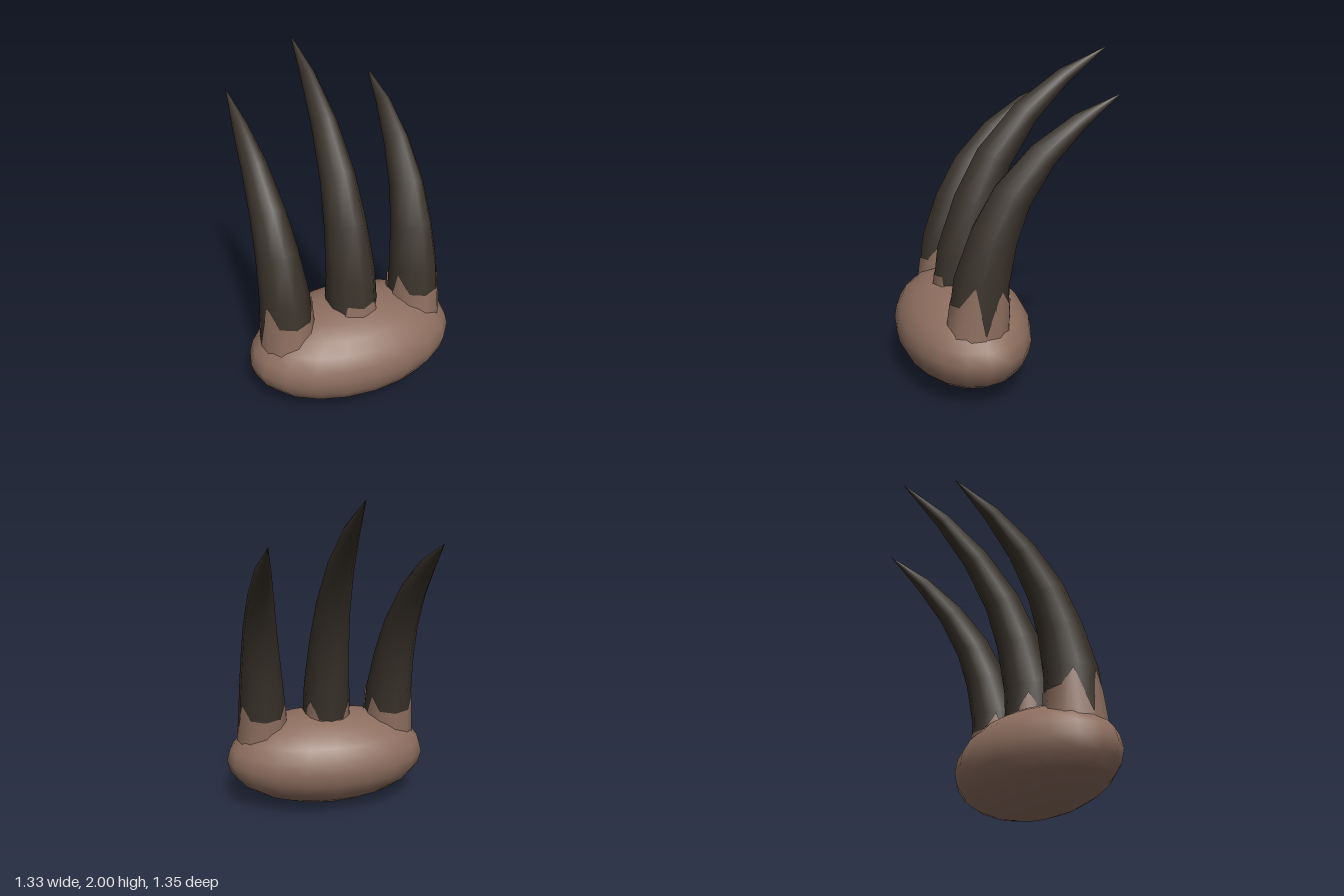
import * as THREE from 'three';

// Skin through closed loops of points, listed from bottom to top
function loft(loops) {
  const n = loops[0].length, pos = [], idx = [];
  loops.forEach(loop => loop.forEach(p => pos.push(p.x, p.y, p.z)));
  for (let i = 0; i < loops.length - 1; i++) {
    for (let j = 0; j < n; j++) {
      const a = i * n + j, b = i * n + (j + 1) % n;
      idx.push(a, b, b + n, a, b + n, a + n);
    }
  }
  const g = new THREE.BufferGeometry();
  g.setAttribute('position', new THREE.Float32BufferAttribute(pos, 3));
  g.setIndex(idx);
  g.computeVertexNormals();
  return g;
}

// Claw cross-sections: sideways drift, height, depth, radius
const SECTIONS = [
  [0, 0.44, 0.275, 0.163], [0.004, 0.75, 0.25, 0.148], [0.014, 1.0, 0.18, 0.126],
  [0.025, 1.22, 0.08, 0.105], [0.036, 1.44, -0.09, 0.078], [0.046, 1.62, -0.3, 0.046],
  [0.05, 1.765, -0.54, 0.001],
];
const DEPTH = 1.12; // claws are a little deeper than wide

function clawGeometry(x, drift, sy, sz) {
  const centres = SECTIONS.map(([dx, y, z]) => new THREE.Vector3(
    x + dx * drift, 0.5 + (y - 0.5) * sy, 0.275 + (z - 0.275) * sz));
  const loops = centres.map((c, i) => {
    const t = centres[Math.min(i + 1, centres.length - 1)].clone()
      .sub(centres[Math.max(i - 1, 0)]).setX(0).normalize();
    const v = new THREE.Vector3(1, 0, 0).cross(t);
    const r = SECTIONS[i][3];
    return Array.from({ length: 10 }, (_, j) => {
      const a = j / 10 * Math.PI * 2;
      return c.clone().addScaledVector(v, r * DEPTH * Math.cos(a))
        .add(new THREE.Vector3(r * Math.sin(a), 0, 0));
    });
  });
  return loft(loops);
}

// Jagged skin around a claw root: [angle from front, rim height], mirrored
function cuffGeometry(x, rim) {
  const full = [...rim, ...rim.slice(1, -1).reverse().map(([a, y]) => [360 - a, y])];
  const ring = heightOf => full.map(([deg, rimY]) => {
    const y = heightOf(rimY), k = (y - 0.44) / 0.31;
    const a = THREE.MathUtils.degToRad(deg);
    const r = THREE.MathUtils.lerp(0.163, 0.148, k) * 1.04;
    return new THREE.Vector3(x + r * Math.sin(a), y, 0.275 - 0.025 * k + r * DEPTH * Math.cos(a));
  });
  return loft([ring(() => 0.43), ring(y => y)]);
}

const SIDE_RIM = [[0, 0.62], [36, 0.63], [65, 0.75], [90, 0.47], [118, 0.72], [144, 0.62], [180, 0.61]];
const MIDDLE_RIM = [[0, 0.645], [34, 0.66], [42, 0.58], [90, 0.54], [125, 0.72], [150, 0.6], [180, 0.58]];

export function createModel() {
  const skin = new THREE.MeshStandardMaterial({ color: 0x8d6e5f, side: THREE.DoubleSide });
  skin.name = 'brown skin';
  const horn = new THREE.MeshStandardMaterial({ color: 0x39322a, side: THREE.DoubleSide });
  horn.name = 'dark horn';

  const model = new THREE.Group();
  model.name = 'clawedPaw';
  const add = (name, geometry, material) => {
    const mesh = new THREE.Mesh(geometry, material);
    mesh.name = name;
    model.add(mesh);
    return mesh;
  };

  // Rounded pad
  const pad = add('pad', new THREE.SphereGeometry(1, 20, 12), skin);
  pad.scale.set(0.665, 0.31, 0.41);
  pad.position.set(0, 0.312, 0.267);

  // Three claws, the middle one longest
  add('middleClaw', clawGeometry(0, 0, 1.186, 1.16), horn);
  add('middleCuff', cuffGeometry(0, MIDDLE_RIM), skin);
  for (const [name, s] of [['left', 1], ['right', -1]]) {
    add(name + 'Claw', clawGeometry(s * 0.425, s, 1, 1), horn);
    add(name + 'Cuff', cuffGeometry(s * 0.425, SIDE_RIM), skin);
  }
  return model;
}
